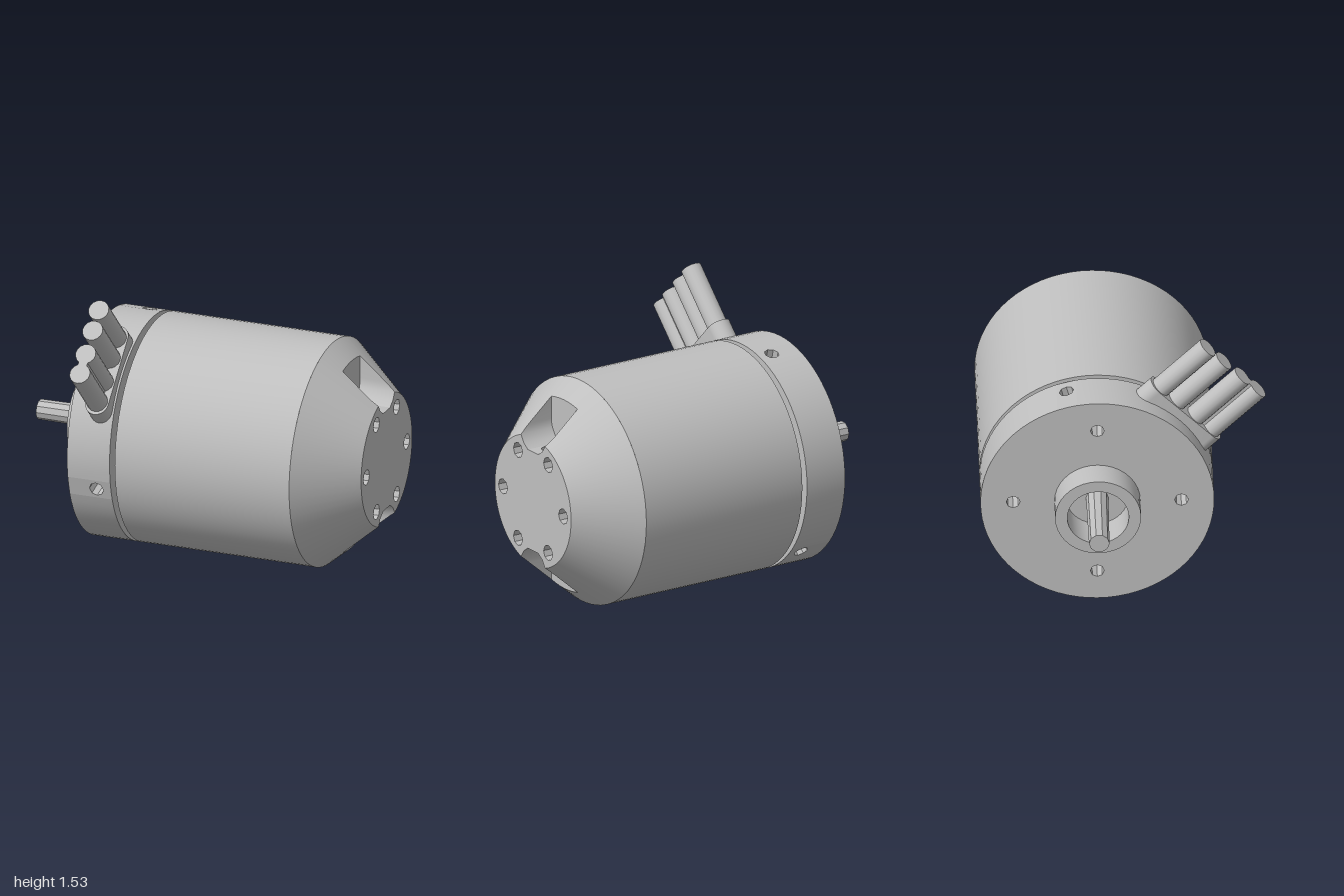
import * as THREE from 'three';
import { toCreasedNormals } from 'three/addons/utils/BufferGeometryUtils.js';

const R = 0.625, END_R = 0.365;          // can and end face radius
const CONE_X = 0.69, END_X = 1;          // where the taper starts and ends
const NW = 0.125, NC = 0.395, NR = 0.535; // notch half width, arc centre, outer reach
const rad = THREE.MathUtils.degToRad;
const metal = new THREE.MeshStandardMaterial({ color: 0xbfbfbf, side: THREE.DoubleSide });
metal.name = 'greyMetal';

function add(parent, name, geometry) {
  const mesh = new THREE.Mesh(geometry, metal);
  mesh.name = name;
  parent.add(mesh);
  return mesh;
}

// Profile of [radius, x] points turned about the x axis
function turned(points, segments = 72) {
  const g = new THREE.LatheGeometry(points.map(p => new THREE.Vector2(...p)), segments);
  return toCreasedNormals(g.rotateZ(-Math.PI / 2), 0.6);
}

// Quads between two rows of [x, y, z] points
function strip(rowA, rowB) {
  const n = rowA.length, index = [];
  for (let i = 0; i < n - 1; i++) index.push(i, i + 1, n + i, i + 1, n + i + 1, n + i);
  const g = new THREE.BufferGeometry();
  g.setAttribute('position', new THREE.Float32BufferAttribute([...rowA, ...rowB].flat(), 3));
  g.setIndex(index);
  g.computeVertexNormals();
  return toCreasedNormals(g, 0.6);
}

const polygon = (cx, cy, r, n = 8) => Array.from({ length: n }, (_, i) => {
  const a = i / n * Math.PI * 2;
  return new THREE.Vector2(cx + r * Math.cos(a), cy + r * Math.sin(a));
});

// Flat face across the axis at x, from [z, y] points, with round holes [z, y, r, sides]
function face(points, x, dir, holes = []) {
  const s = new THREE.Shape(points.map(p => new THREE.Vector2(-dir * p[0], p[1])));
  for (const [u, v, r, n] of holes) s.holes.push(new THREE.Path(polygon(-dir * u, v, r, n)));
  return new THREE.ShapeGeometry(s).rotateY(dir * Math.PI / 2).translate(x, 0, 0);
}

// Small rectangular wall facing +y with one round hole
function holedPatch(x0, x1, half, y, hx, r) {
  const s = new THREE.Shape([[x0, -half], [x1, -half], [x1, half], [x0, half]]
    .map(p => new THREE.Vector2(...p)));
  s.holes.push(new THREE.Path(polygon(hx, 0, r)));
  return new THREE.ShapeGeometry(s).rotateX(-Math.PI / 2).translate(0, y, 0);
}

// Blind hole sunk into a surface that faces dir
function pocket(parent, name, pos, dir, r, depth) {
  const pts = [[0, -depth], [r, -depth], [r, 0]].map(p => new THREE.Vector2(...p));
  const mesh = add(parent, name, toCreasedNormals(new THREE.LatheGeometry(pts, 8), 0.6));
  mesh.position.set(...pos);
  mesh.quaternion.setFromUnitVectors(new THREE.Vector3(0, 1, 0), new THREE.Vector3(...dir));
}

// Closed ring from a quarter outline of [z, y] points
function mirrored(q) {
  const back = [...q].reverse();
  return [...q, ...back.map(([u, v]) => [u, -v]), ...q.map(([u, v]) => [-u, -v]),
    ...back.map(([u, v]) => [-u, v])]
    .filter((p, i, all) => !i || Math.hypot(p[0] - all[i - 1][0], p[1] - all[i - 1][1]) > 1e-5);
}

const coneX = r => Math.min(END_X, CONE_X + (R - r) / (R - END_R) * (END_X - CONE_X));
const FLOOR_X = coneX(NR);

function addTaperedEnd(motor) {
  // Notch outline: rounded bottom, straight sides, outer arc
  const cross = Math.acos((NC * NC + NW * NW - END_R * END_R) / (2 * NC * NW));
  const arcPt = a => [NW * Math.sin(a), NC - NW * Math.cos(a)];
  const arc = [rad(23), rad(45), cross].map(arcPt);
  const high = arcPt(rad(80));
  const sideTop = Math.asin(NW / NR);
  const outerArc = [0, 1, 2, 3].map(i => [NR * Math.sin(sideTop * i / 3), NR * Math.cos(sideTop * i / 3)]);
  const start = Math.atan2(...arc[2]);
  const rim = Array.from({ length: 15 }, (_, i) => {
    const a = start + (Math.PI / 2 - start) * i / 14;
    return [END_R * Math.sin(a), END_R * Math.cos(a)];
  });

  // Taper with the notches left open
  const inner = mirrored([...outerArc, [NW, NC], high, ...rim]);
  add(motor, 'taper', strip(
    inner.map(([u, v]) => [coneX(Math.hypot(u, v)), v, u]),
    inner.map(([u, v]) => { const k = R / Math.hypot(u, v); return [CONE_X, v * k, u * k]; })));

  // End face and its screw holes
  const holes = [0, 1, 2, 3, 4, 5].map(i => [0.288 * Math.cos(i * Math.PI / 3), 0.288 * Math.sin(i * Math.PI / 3), 0.043]);
  const outline = mirrored([...arc, ...rim.slice(1)]);
  add(motor, 'endFace', face(outline, END_X, 1, holes));
  for (const [u, v, r] of holes) pocket(motor, 'endScrewHole', [END_X, v, u], [1, 0, 0], r, 0.15);

  // Two opposite notches joined by a cross hole
  const half = [...arc, high, [NW, NC], outerArc[3]];
  for (const turn of [0, Math.PI]) {
    const notch = new THREE.Group();
    notch.name = 'notch';
    notch.rotation.x = turn;
    motor.add(notch);
    for (const s of [1, -1]) {
      add(notch, 'notchSide', strip(
        half.map(([u, v]) => [FLOOR_X, v, s * u]),
        half.map(([u, v]) => [coneX(Math.hypot(u, v)), v, s * u])));
    }
    add(notch, 'notchBottom', holedPatch(FLOOR_X, END_X, arc[0][0], arc[0][1], 0.9, 0.04));
    const left = half.map(([u, v]) => [-u, v]).reverse();
    const top = [...outerArc.slice(0, 3)].reverse();
    add(notch, 'notchFloor', face([...left, ...half, ...top,
      ...outerArc.slice(1, 3).map(([u, v]) => [-u, v])], FLOOR_X, 1));
  }
  const channel = new THREE.CylinderGeometry(0.04, 0.04, arc[0][1] * 2, 8, 1, true);
  add(motor, 'crossHole', channel).position.x = 0.9;
}

function addRearPlate(motor) {
  const x0 = -0.59, x1 = -0.345, step = rad(5);
  // Rim with three radial screw holes
  for (const centre of [105, -15, -135]) {
    const row = x => Array.from({ length: 23 }, (_, i) => {
      const a = rad(centre + 5) + i * step;
      return [x, R * Math.cos(a), R * Math.sin(a)];
    });
    add(motor, 'plateRim', strip(row(x0), row(x1)));
    const a = rad(centre), d = R * Math.cos(step);
    add(motor, 'plateRimHolePatch', holedPatch(x0, x1, R * Math.sin(step), d, -0.43, 0.04)).rotation.x = a;
    const dir = [0, Math.cos(a), Math.sin(a)];
    pocket(motor, 'rimScrewHole', [-0.43, d * dir[1], d * dir[2]], dir, 0.04, 0.12);
  }
  // Back face with four mounting holes and the bore
  const circle = polygon(0, 0, R, 72).map(p => [p.x, p.y]);
  const holes = [[0.45, 0, 0.037], [-0.45, 0, 0.037], [0, 0.45, 0.037], [0, -0.45, 0.037]];
  add(motor, 'plateBack', face(circle, x0, -1, [...holes, [0, 0, 0.165, 36]]));
  for (const [u, v, r] of holes) pocket(motor, 'mountingHole', [x0, v, u], [-1, 0, 0], r, 0.15);
  add(motor, 'plateFront', face(circle, x1, 1));
}

function addWires(motor) {
  const wires = new THREE.Group();
  wires.name = 'wires';
  wires.rotation.x = Math.PI / 4;
  wires.position.x = -0.42;
  motor.add(wires);
  const base = 0.42, tip = 1.032, r = 0.057;
  for (const t of [0.19, 0.068, -0.072, -0.19]) {
    const wire = new THREE.CylinderGeometry(r, r, tip - base, 16);
    add(wires, 'wire', wire).position.set(0, (base + tip) / 2, -t);
  }
  // Web joining the last two wires
  add(wires, 'wireWeb', new THREE.BoxGeometry(0.05, tip - base, 0.1)).position.set(0, (base + tip) / 2, 0.131);
  // Rounded collar where the wires leave the plate
  const s = new THREE.Shape();
  s.absarc(0, 0.2, 0.064, 0, Math.PI);
  s.absarc(0, -0.2, 0.064, Math.PI, Math.PI * 2);
  const collar = new THREE.ExtrudeGeometry(s, { depth: 0.225, bevelEnabled: false, curveSegments: 8 });
  add(wires, 'wireCollar', toCreasedNormals(collar.rotateX(-Math.PI / 2).translate(0, 0.45, 0), 0.6));
}

export function createModel() {
  const model = new THREE.Group();
  model.name = 'electricMotor';
  const motor = new THREE.Group();
  motor.name = 'motor';
  motor.position.set(0, R, -0.145);
  model.add(motor);

  add(motor, 'can', turned([[0, -0.315], [R, -0.315], [R, CONE_X]]));
  add(motor, 'core', turned([[0.445, -0.35], [0.445, -0.31]]));
  add(motor, 'boss', turned([[0, -0.56], [0.165, -0.56], [0.165, -0.75], [0.23, -0.75], [0.23, -0.59]], 36));
  add(motor, 'shaft', turned([[0, -1], [0.055, -1], [0.06, -0.56]], 10));
  addTaperedEnd(motor);
  addRearPlate(motor);
  addWires(motor);
  return model;
}
